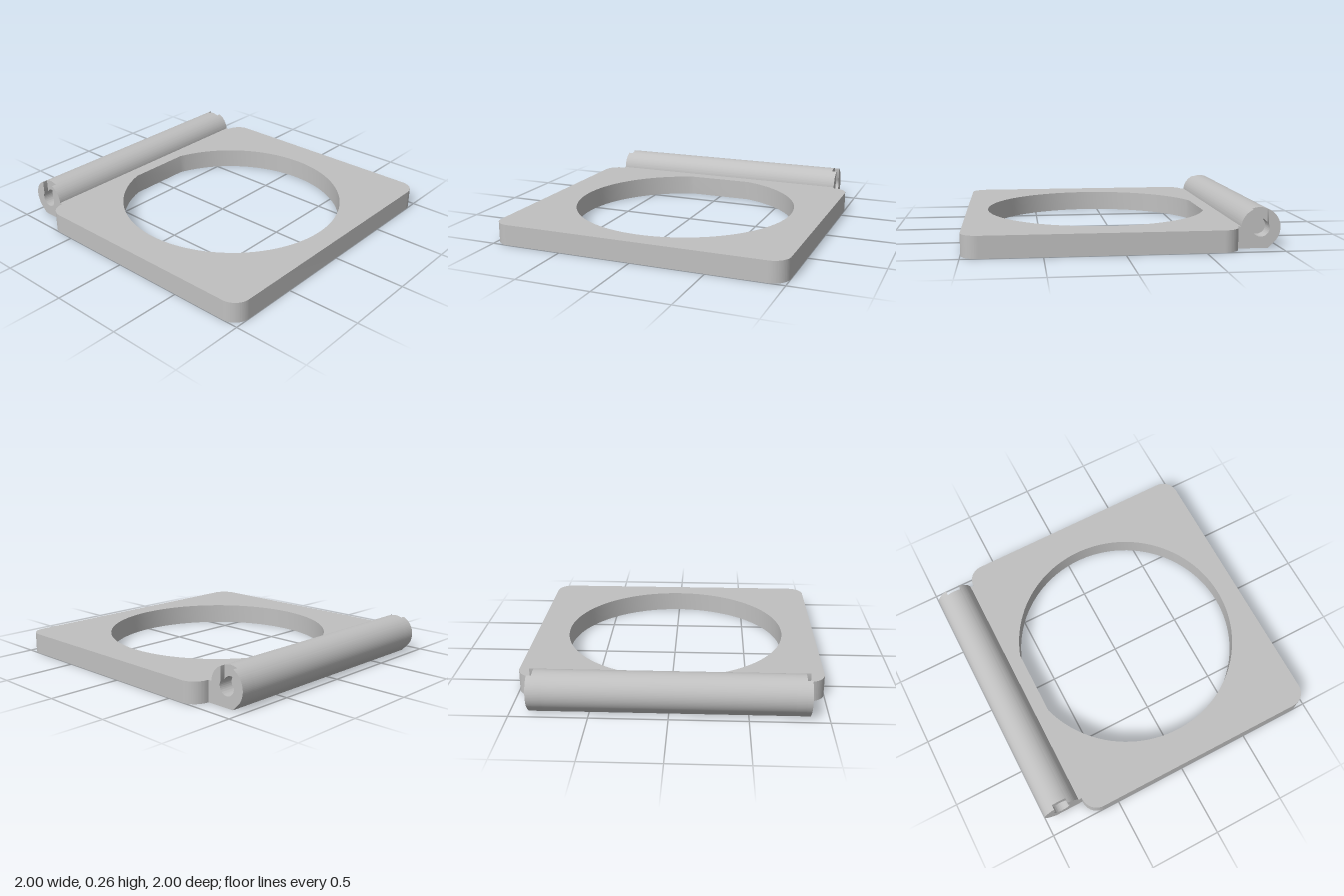
import * as THREE from 'three';
import { toCreasedNormals } from 'three/addons/utils/BufferGeometryUtils.js';

const PLATE_H = 0.14, R = 0.127, CU = 0.87, CV = 0.13; // plate height; barrel radius and axis (-z, y)
const PIN_R = 0.057, SLOT = 0.05; // pin hole radius, half slot width
const BARREL_X = 0.885, SLOT_DEPTH = 0.033, PIN_DEPTH = 0.1;

function extrude(shape, depth) {
  return new THREE.ExtrudeGeometry(shape, { depth, bevelEnabled: false, curveSegments: 48 });
}

// Rounded plate with a round opening that is cut flat toward the hinge
function plateShape() {
  const s = new THREE.Shape(), r = 0.11, back = 0.72;
  s.absarc(1 - r, -1 + r, r, -Math.PI / 2, 0);
  s.absarc(1 - r, back - r, r, 0, Math.PI / 2);
  s.absarc(-1 + r, back - r, r, Math.PI / 2, Math.PI);
  s.absarc(-1 + r, -1 + r, r, Math.PI, Math.PI * 1.5);
  s.closePath();
  const hole = new THREE.Path(), a = Math.asin(0.735 / 0.77);
  hole.absarc(0, -0.085, 0.77, Math.PI - a, Math.PI * 2 + a);
  hole.closePath();
  s.holes.push(hole);
  return s;
}

// Hinge barrel section: round top, 45 degree tangent underneath, flat base
function barrelShape(kind) {
  const s = new THREE.Shape();
  const start = Math.PI - Math.asin((PLATE_H - CV) / R), end = -Math.PI / 4;
  s.moveTo(0.72, 0);
  s.lineTo(0.72, PLATE_H);
  if (kind === 'slot') {
    const outer = Math.asin(SLOT / R), inner = Math.asin(SLOT / PIN_R), up = Math.PI / 2;
    s.absarc(CU, CV, R, start, up + outer, true);
    s.absarc(CU, CV, PIN_R, up + inner, up - inner + Math.PI * 2, false);
    s.absarc(CU, CV, R, up - outer, end, true);
  } else {
    s.absarc(CU, CV, R, start, end, true);
  }
  s.lineTo(CU + R * Math.SQRT2 - CV, 0);
  s.closePath();
  if (kind === 'hole') {
    const pin = new THREE.Path();
    pin.absarc(CU, CV, PIN_R, 0, Math.PI * 2);
    s.holes.push(pin);
  }
  return s;
}

export function createModel() {
  const group = new THREE.Group();
  const grey = new THREE.MeshStandardMaterial({ color: 0xc0c0c0 });
  grey.name = 'grey';
  const add = (name, geometry) => {
    const mesh = new THREE.Mesh(toCreasedNormals(geometry, 0.5), grey);
    mesh.name = name;
    group.add(mesh);
  };

  add('framePlate', extrude(plateShape(), PLATE_H).rotateX(-Math.PI / 2));

  const section = (name, kind, x0, x1) =>
    add(name, extrude(barrelShape(kind), x1 - x0).rotateY(Math.PI / 2).translate(x0, 0, 0));

  // Solid middle, then a blind pin hole and an open slot at each end
  const xPin = BARREL_X - PIN_DEPTH, xSlot = BARREL_X - SLOT_DEPTH;
  section('hingeBarrel', 'solid', -xPin, xPin);
  section('leftPinSocket', 'hole', xPin, xSlot);
  section('rightPinSocket', 'hole', -xSlot, -xPin);
  section('leftSlottedEnd', 'slot', xSlot, BARREL_X);
  section('rightSlottedEnd', 'slot', -BARREL_X, -xSlot);
  return group;
}
